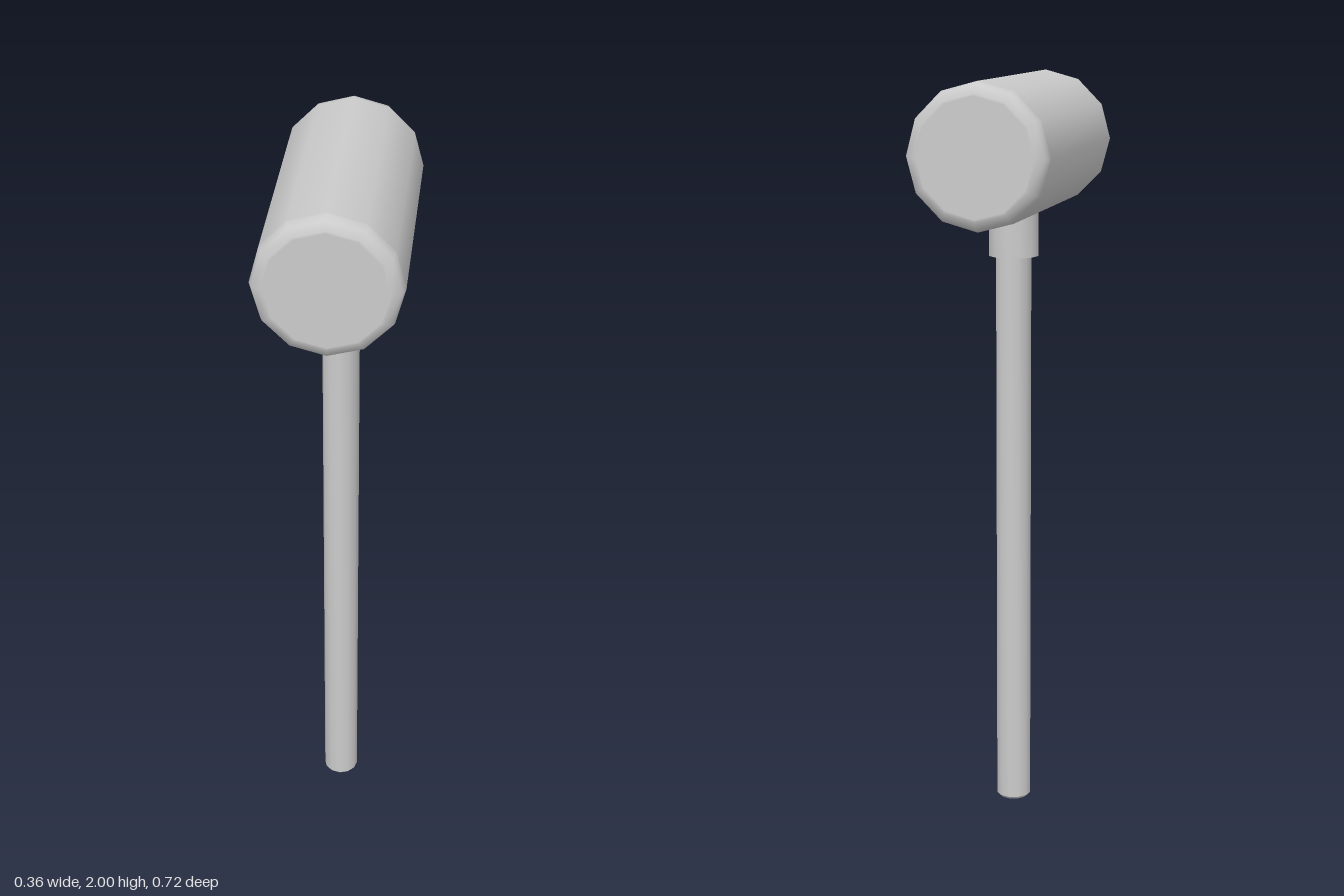
import * as THREE from 'three';
import { toCreasedNormals } from 'three/addons/utils/BufferGeometryUtils.js';

const SIDES = 12;

export function createModel() {
  const mallet = new THREE.Group();
  mallet.name = 'mallet';
  const material = new THREE.MeshStandardMaterial({ color: 0xcccccc });

  // Turned solid from [radius, height] pairs, listed bottom to top
  const turned = (name, profile) => {
    const points = profile.map(([r, y]) => new THREE.Vector2(r, y));
    const mesh = new THREE.Mesh(new THREE.LatheGeometry(points, SIDES), material);
    mesh.name = name;
    mallet.add(mesh);
    return mesh;
  };

  // Head: barrel along z with rounded rims; the inner ring keeps each end face flat
  const halfProfile = [[0, 0.362], [0.148, 0.362], [0.154, 0.362], [0.175, 0.352], [0.182, 0.332], [0.182, 0.322]];
  const mirrored = halfProfile.map(([r, y]) => [r, -y]);
  const head = turned('head', [...mirrored, ...halfProfile.reverse()]);
  head.rotation.x = Math.PI / 2;
  head.position.y = 1.818;

  // Collar: short socket running up into the head
  const collar = turned('collar', [[0, 1.535], [0.067, 1.535], [0.067, 1.72], [0, 1.72]]);

  // Handle: long shaft with a slightly chamfered butt
  const handle = turned('handle', [[0, 0], [0.041, 0], [0.048, 0.008], [0.048, 1.6], [0, 1.6]]);

  // Keep the ends of collar and handle crisp
  for (const part of [collar, handle]) part.geometry = toCreasedNormals(part.geometry, 0.6);

  return mallet;
}
